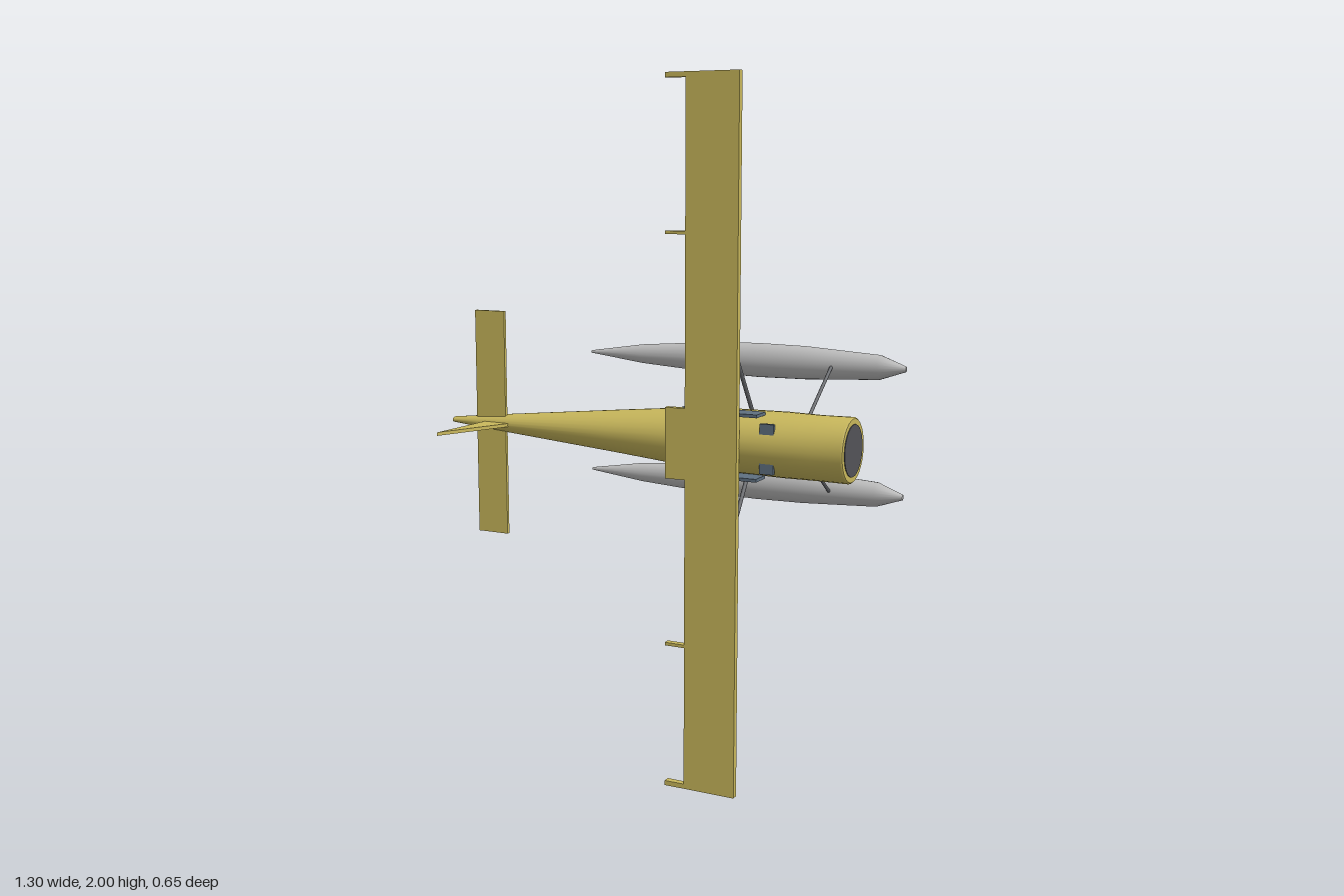
import * as THREE from 'three';

const mat = (name, color) => Object.assign(new THREE.MeshStandardMaterial({ color }), { name });

// Skin through elliptical sections [x, centreZ, radiusZ, radiusY], with flat end caps
function loft(sections, seg) {
  const pos = [], idx = [];
  const ring = ([x, cz, rz, ry]) => {
    const start = pos.length / 3;
    for (let j = 0; j < seg; j++) {
      const a = (j / seg) * Math.PI * 2;
      pos.push(x, ry * Math.cos(a), cz + rz * Math.sin(a));
    }
    return start;
  };
  const starts = sections.map(ring);
  for (let i = 0; i < starts.length - 1; i++) {
    for (let j = 0; j < seg; j++) {
      const k = (j + 1) % seg, a = starts[i], b = starts[i + 1];
      idx.push(a + j, a + k, b + j, a + k, b + k, b + j);
    }
  }
  const tail = ring(sections[0]), nose = ring(sections[sections.length - 1]);
  for (let j = 1; j < seg - 1; j++) {
    idx.push(tail, tail + j + 1, tail + j, nose, nose + j, nose + j + 1);
  }
  const g = new THREE.BufferGeometry();
  g.setAttribute('position', new THREE.Float32BufferAttribute(pos, 3));
  g.setIndex(idx);
  g.computeVertexNormals();
  return g;
}

export function createModel() {
  const yellow = mat('yellow paint', 0xc9b85c);
  const grey = mat('float grey', 0xbcbcbc);
  const steel = mat('strut steel', 0x64666a);
  const glass = mat('window glass', 0x5f7080);
  const dark = mat('engine dark', 0x545458);

  // The aircraft points along +x with its upper side towards +z and its span along y
  const plane = new THREE.Group();
  plane.name = 'floatplane';
  plane.position.y = 1;

  const add = (name, geometry, material) => {
    const m = new THREE.Mesh(geometry, material);
    m.name = name;
    plane.add(m);
    return m;
  };
  // Box given by its limits on each axis
  const box = (name, x0, x1, y0, y1, z0, z1, material = yellow) =>
    add(name, new THREE.BoxGeometry(x1 - x0, y1 - y0, z1 - z0), material)
      .position.set((x0 + x1) / 2, (y0 + y1) / 2, (z0 + z1) / 2);
  // Round rod between two points
  const rod = (name, p, q, r) => {
    const a = new THREE.Vector3(...p), b = new THREE.Vector3(...q);
    const m = add(name, new THREE.CylinderGeometry(r, r, a.distanceTo(b), 10), steel);
    m.position.copy(a).lerp(b, 0.5);
    m.quaternion.setFromUnitVectors(new THREE.Vector3(0, 1, 0), b.sub(a).normalize());
  };

  // Fuselage and engine opening
  add('fuselage', loft([
    [-0.65, 0.075, 0.015, 0.008],
    [-0.54, 0.071, 0.026, 0.02],
    [-0.1, 0.043, 0.082, 0.062],
    [0.08, 0.038, 0.101, 0.079],
    [0.24, 0.036, 0.109, 0.088],
    [0.41, 0.041, 0.104, 0.091],
    [0.515, 0.046, 0.09, 0.09],
    [0.602, 0.045, 0.092, 0.091],
    [0.606, 0.045, 0.088, 0.087],
  ], 28), yellow);
  const engine = add('engineOpening', new THREE.CylinderGeometry(0.072, 0.072, 0.006, 28), dark);
  engine.rotation.z = -Math.PI / 2;
  engine.position.set(0.605, 0, 0.045);

  // Wing with centre section
  box('wing', 0.16, 0.315, -1, 1, 0.142, 0.161);
  box('wingCentre', 0.1, 0.16, -0.1, 0.1, 0.142, 0.161);

  // Tailplane and swept fin
  box('tailplane', -0.565, -0.465, -0.335, 0.335, 0.075, 0.085);
  const finShape = new THREE.Shape([[-0.53, -0.08], [-0.545, -0.325], [-0.437, -0.08]]
    .map(([x, y]) => new THREE.Vector2(x, y)));
  const fin = add('fin', new THREE.ExtrudeGeometry(finShape, { depth: 0.01, bevelEnabled: false }), yellow);
  fin.rotation.x = -Math.PI / 2;
  fin.position.y = -0.005;

  // Windscreen corners showing through the nose curve
  box('windscreen', 0.37, 0.411, -0.069, 0.069, 0.122, 0.134, glass);

  const floatShape = loft([
    [-0.36, -0.259, 0.004, 0.004],
    [-0.19, -0.277, 0.025, 0.029],
    [0.05, -0.288, 0.04, 0.047],
    [0.19, -0.288, 0.041, 0.051],
    [0.34, -0.288, 0.041, 0.049],
    [0.57, -0.28, 0.035, 0.036],
    [0.65, -0.273, 0.006, 0.008],
  ], 20);

  // Parts on both sides
  for (const [side, s] of [['left', -1], ['right', 1]]) {
    const span = (name, x0, x1, a, b, z0, z1, m) =>
      box(name, x0, x1, Math.min(s * a, s * b), Math.max(s * a, s * b), z0, z1, m);
    span(side + 'TipTab', 0.1, 0.16, 0.986, 1, 0.142, 0.161);
    span(side + 'HingeArm', 0.1, 0.16, 0.573, 0.582, 0.142, 0.161);
    span(side + 'CabinWindow', 0.12, 0.363, 0.084, 0.093, 0.073, 0.136, glass);
    rod(side + 'WingStrut', [0.268, s * 0.075, -0.055], [0.255, s * 0.4, 0.145], 0.006);
    for (const x of [0.118, 0.433]) {
      rod(side + 'FloatStrut', [x, s * 0.06, -0.072], [x, s * 0.187, -0.255], 0.005);
    }
    add(side + 'Float', floatShape, grey).position.y = s * 0.186;
  }

  const model = new THREE.Group();
  model.name = 'model';
  model.add(plane);
  return model;
}
